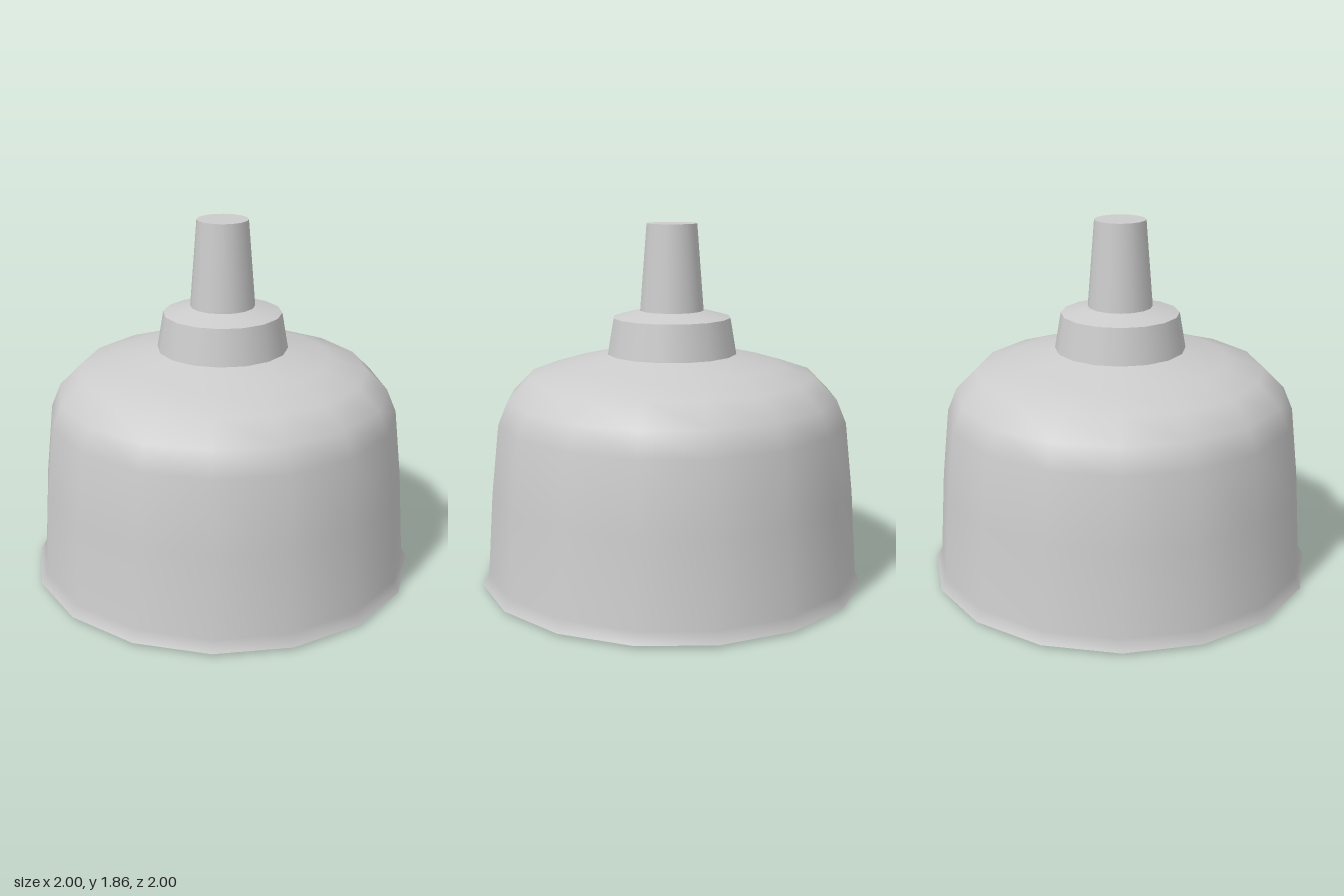
import * as THREE from 'three';

const SIDES = 16;

export function createModel() {
  const group = new THREE.Group();
  const material = new THREE.MeshStandardMaterial({ color: 0xcccccc });

  // Turns a smooth profile of [radius, height] points; separate bands keep hard edges between them
  const turn = (name, profile, parent) => {
    const points = profile.map(([r, y]) => new THREE.Vector2(r, y));
    const mesh = new THREE.Mesh(new THREE.LatheGeometry(points, SIDES), material);
    mesh.name = name;
    parent.add(mesh);
  };
  const part = (name) => {
    const g = new THREE.Group();
    g.name = name;
    group.add(g);
    return g;
  };

  // Bell-shaped shade with a flared lip, hollow inside
  const shade = part('shade');
  turn('shadeOuter', [[1, 0.012], [0.97, 0.07], [0.94, 0.5], [0.9, 0.86], [0.85, 0.98],
    [0.74, 1.09], [0.56, 1.145], [0.335, 1.2]], shade);
  turn('shadeInnerWall', [[0.79, 1.02], [0.88, 0.5], [0.94, 0]], shade);
  turn('shadeCeiling', [[0, 1.02], [0.79, 1.02]], shade);
  turn('shadeRim', [[0.94, 0], [1, 0.012]], shade);

  // Tapered collar with a sloping top
  const collar = part('collar');
  turn('collarSide', [[0.335, 1.2], [0.303, 1.385]], collar);
  turn('collarTop', [[0.303, 1.385], [0.165, 1.42]], collar);

  // Cable socket on top
  const socket = part('socket');
  turn('socketSide', [[0.165, 1.42], [0.13, 1.86]], socket);
  turn('socketCap', [[0.13, 1.86], [0, 1.86]], socket);

  return group;
}
